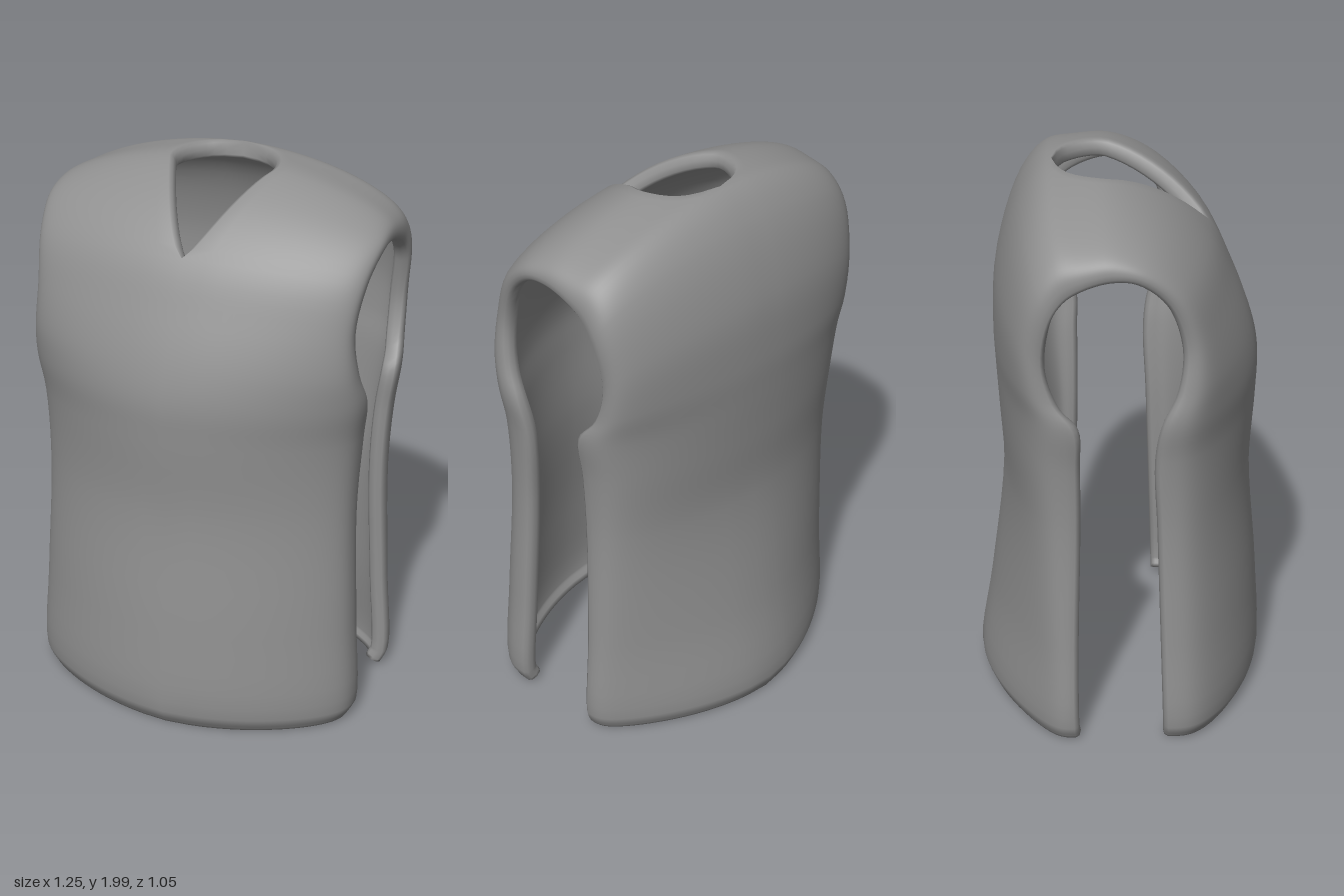
import * as THREE from 'three';
import { mergeVertices } from 'three/addons/utils/BufferGeometryUtils.js';

// Stations from front hem, over the shoulders, to back hem:
// centre y, centre z, side x, side y, side z
const STATIONS = [
  [0.01, 0.49, 0.595, 0.02, 0.16],
  [0.07, 0.52, 0.618, 0.07, 0.16],
  [0.4, 0.51, 0.605, 0.4, 0.15],
  [0.85, 0.475, 0.587, 0.85, 0.135],
  [1.15, 0.49, 0.6, 1.13, 0.125],
  [1.3, 0.492, 0.618, 1.28, 0.15],
  [1.43, 0.465, 0.603, 1.4, 0.2],
  [1.6, 0.4, 0.588, 1.55, 0.212],
  [1.77, 0.315, 0.605, 1.71, 0.155],
  [1.92, 0.16, 0.624, 1.8, 0.05],
  [2.01, -0.03, 0.625, 1.81, -0.04],
  [2.01, -0.18, 0.624, 1.78, -0.14],
  [1.99, -0.265, 0.622, 1.74, -0.2],
  [1.88, -0.355, 0.621, 1.66, -0.25],
  [1.65, -0.43, 0.603, 1.5, -0.275],
  [1.43, -0.445, 0.605, 1.36, -0.24],
  [1.28, -0.44, 0.618, 1.26, -0.17],
  [1.1, -0.43, 0.597, 1.1, -0.165],
  [0.85, -0.42, 0.585, 0.85, -0.165],
  [0.4, -0.473, 0.6, 0.4, -0.175],
  [0.07, -0.52, 0.615, 0.07, -0.175],
  [0.015, -0.5, 0.595, 0.02, -0.17],
];
const ROWS = (STATIONS.length - 1) * 5, M = 32, COLS = 2 * M + 8;
const THICK = 0.06, SQUARE = 3.2;
const { smoothstep, lerp } = THREE.MathUtils;

const spline = (f) => new THREE.CatmullRomCurve3(
  STATIONS.map((s) => new THREE.Vector3(...f(s))), false, 'centripetal');
const centreLine = spline(([y, z]) => [0, y, z]);
const sideLine = spline((s) => s.slice(2));

// How far the cloth falls away towards the sides: less on the upper back
function droop({ y, z }) {
  const back = 0.6 - 0.35 * smoothstep(y, 0.1, 1.2);
  return lerp(back, 0.46, smoothstep(z, -0.4, -0.1));
}

// Outer cloth surface: s runs hem to hem, t from the centre (0) to the side (1)
function cloth(s, t) {
  const c = centreLine.getPoint(s), e = sideLine.getPoint(s);
  const pw = (v) => Math.sign(v) * Math.abs(v) ** (2 / SQUARE);
  const x = pw(Math.sin(t * Math.PI / 2));
  const f = pw(Math.cos(t * Math.PI / 2)) * (1 - droop(c) * Math.abs(x) ** 1.6);
  return new THREE.Vector3(e.x * x, lerp(e.y, c.y, f), lerp(e.z, c.z, f));
}

// Point, outward normal and sideways tangent of the cloth
function frame(s, t) {
  const h = 0.002, s0 = Math.max(0, s - h), s1 = Math.min(1, s + h);
  const along = cloth(s1, t).sub(cloth(s0, t));
  const T = cloth(s, t + h).sub(cloth(s, t - h)).normalize();
  return { P: cloth(s, t), T, N: T.clone().cross(along).normalize() };
}

// Half-width of the neck opening: V-shaped at the front, round at the back
function neckWidth(s) {
  const z = centreLine.getPoint(s).z;
  const w = 0.2 * (z > -0.04 ? Math.max(0, (0.315 - z) / 0.355) ** 0.65
    : Math.max(0, 1 - ((z + 0.04) / 0.185) ** 2) ** 0.4);
  return w < 1e-3 ? 0 : w;
}

// Closed ring: outer face, rounded side rim, lining, rounded neck rim
function ring(s) {
  const w = neckWidth(s);
  const t0 = Math.asin((w / sideLine.getPoint(s).x) ** (SQUARE / 2)) * 2 / Math.PI;
  const frames = Array.from({ length: M + 1 }, (_, j) => frame(s, t0 + (1 - t0) * j / M));
  const inner = frames.map((f) => f.P.clone().addScaledVector(f.N, -THICK));
  const rim = (f, dir) => [1, 2, 3].map((k) => {
    const a = k * Math.PI / 4, r = THICK / 2;
    return f.P.clone().addScaledVector(f.N, r * Math.cos(a) - r)
      .addScaledVector(f.T, dir * 0.6 * r * Math.sin(a));
  });
  const pts = [...frames.map((f) => f.P), ...rim(frames[M], 1),
    ...inner.reverse(), ...rim(frames[0], -1).reverse()];
  pts.forEach((p) => { p.x = Math.max(0, p.x); });
  return pts;
}

function vestGeometry() {
  const pos = [], idx = [];
  for (const side of [1, -1]) {
    const base = pos.length / 3;
    const at = (i, j) => base + i * COLS + j % COLS;
    const quad = (a, b, c, d, flip) => {
      if (flip !== (side < 0)) idx.push(a, c, b, a, d, c);
      else idx.push(a, b, c, a, c, d);
    };
    for (let i = 0; i <= ROWS; i++)
      ring(i / ROWS).forEach((p) => pos.push(side * p.x, p.y, p.z));
    for (let i = 0; i < ROWS; i++) {
      // no neck rim where both halves join at the centre
      const open = neckWidth(i / ROWS) > 0 || neckWidth((i + 1) / ROWS) > 0;
      for (let j = 0; j < (open ? COLS : 2 * M + 4); j++)
        quad(at(i, j), at(i, j + 1), at(i + 1, j + 1), at(i + 1, j), false);
    }
    // close the two hems
    for (const [i, flip] of [[0, true], [ROWS, false]])
      for (let a = 0; a <= M + 1; a++) {
        const b = 2 * M + 4 - a;
        quad(at(i, a), at(i, a + 1), at(i, b - 1), at(i, b), flip);
      }
  }
  const g = new THREE.BufferGeometry();
  g.setAttribute('position', new THREE.Float32BufferAttribute(pos, 3));
  g.setIndex(idx);
  const merged = mergeVertices(g, 1e-4);
  merged.computeVertexNormals();
  return merged;
}

export function createModel() {
  const group = new THREE.Group();
  group.name = 'sleevelessVest';
  const vest = new THREE.Mesh(vestGeometry(),
    new THREE.MeshStandardMaterial({ color: 0x909090, side: THREE.DoubleSide }));
  vest.name = 'vestBody';
  group.add(vest);
  return group;
}
